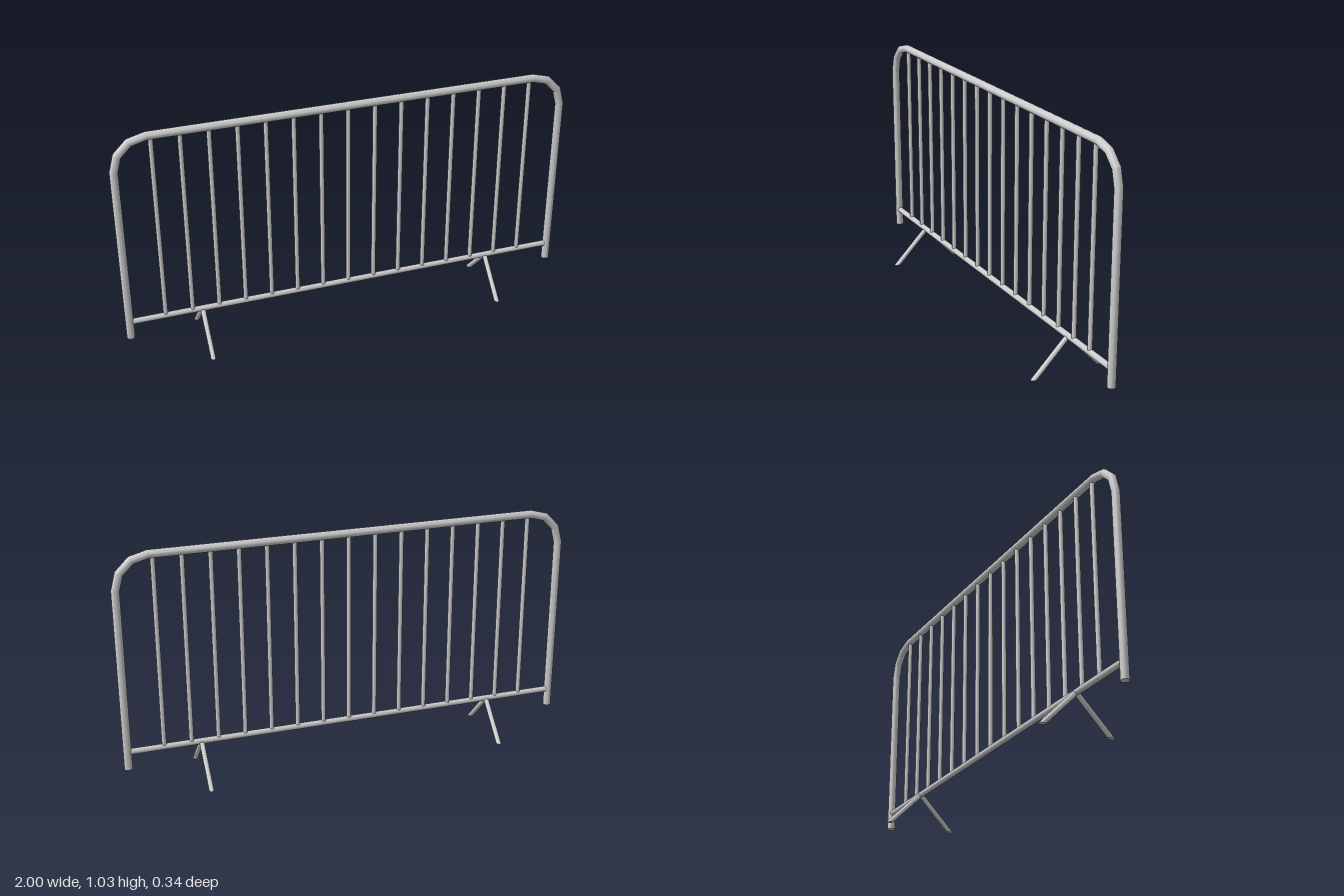
import * as THREE from 'three';
import { toCreasedNormals } from 'three/addons/utils/BufferGeometryUtils.js';

const material = new THREE.MeshStandardMaterial({ color: 0xcccccc });

function addPart(parent, name, geometry) {
  const mesh = new THREE.Mesh(geometry, material);
  mesh.name = name;
  parent.add(mesh);
  return mesh;
}

// Round tube along a polyline in the XY plane, with mitred bends
function bentTube(points, radius) {
  const last = points.length - 1;
  const geometry = new THREE.CylinderGeometry(radius, radius, last, 16, last);
  const pos = geometry.attributes.position;
  const across = points.map((p, i) => {
    const d0 = points[Math.max(i, 1)].clone().sub(points[Math.max(i, 1) - 1]).normalize();
    const j = Math.min(i, last - 1);
    const d1 = points[j + 1].clone().sub(points[j]).normalize();
    const t = d0.clone().add(d1).normalize();
    return new THREE.Vector2(t.y, -t.x).divideScalar(t.dot(d0));
  });
  for (let i = 0; i < pos.count; i++) {
    const ring = Math.round(pos.getY(i) + last / 2);
    const x = pos.getX(i);
    pos.setXY(i, points[ring].x + across[ring].x * x, points[ring].y + across[ring].y * x);
  }
  return toCreasedNormals(geometry, 0.45);
}

export function createModel() {
  const model = new THREE.Group();
  model.name = 'barrier';

  // Outer frame: two posts joined over rounded top corners
  const halfWidth = 0.9825, top = 1.0155, bend = 0.14;
  const path = [new THREE.Vector2(halfWidth, 0.08)];
  for (const side of [0, 1]) {
    for (let i = 0; i <= 3; i++) {
      const a = (side * 3 + i) * Math.PI / 6;
      const cx = (side ? -1 : 1) * (halfWidth - bend);
      path.push(new THREE.Vector2(cx + bend * Math.cos(a), top - bend + bend * Math.sin(a)));
    }
  }
  path.push(new THREE.Vector2(-halfWidth, 0.08));
  addPart(model, 'outerFrame', bentTube(path, 0.0175));

  // Bottom rail
  const railY = 0.158;
  const rail = addPart(model, 'bottomRail', new THREE.CylinderGeometry(0.013, 0.013, 1.944, 16));
  rail.rotation.z = Math.PI / 2;
  rail.position.y = railY;

  // Upright bars
  const bars = new THREE.Group();
  bars.name = 'uprightBars';
  model.add(bars);
  const barGeometry = new THREE.CylinderGeometry(0.01, 0.01, top - railY, 12);
  for (let i = -7; i <= 7; i++) {
    addPart(bars, 'uprightBar', barGeometry).position.set(i * 0.118, (top + railY) / 2, 0);
  }

  // Splayed legs: cylinders sheared outward so the feet lie flat
  const footZ = 0.154;
  for (const x of [-0.665, 0.665]) {
    for (const side of [-1, 1]) {
      const leg = new THREE.CylinderGeometry(0.011, 0.011, railY, 12);
      leg.scale(1, 1, 1.42);
      leg.translate(0, railY / 2, 0);
      const pos = leg.attributes.position;
      for (let i = 0; i < pos.count; i++) {
        pos.setZ(i, pos.getZ(i) + side * footZ * (1 - pos.getY(i) / railY));
      }
      addPart(model, side > 0 ? 'frontLeg' : 'backLeg', toCreasedNormals(leg, 0.75)).position.x = x;
    }
  }
  return model;
}
